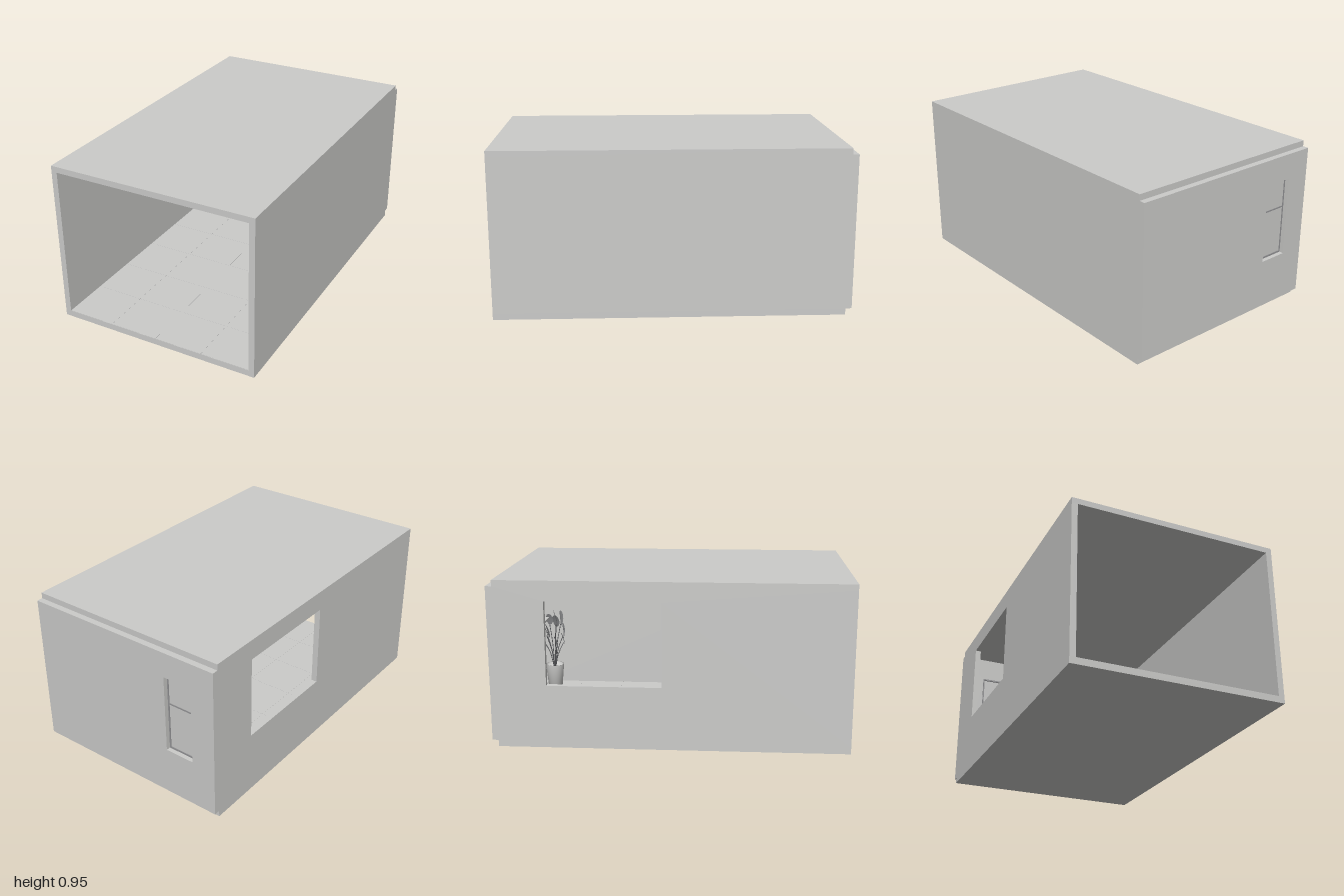
import * as THREE from 'three';

const mat = (name, color, side = THREE.FrontSide) => {
  const m = new THREE.MeshStandardMaterial({ color, side });
  m.name = name;
  return m;
};

export function createModel() {
  const light = mat('light grey', 0xcbcbc9);
  const dark = mat('dark grey', 0x949496);
  const leafMat = mat('leaf grey', 0x8e8f91, THREE.DoubleSide);
  const stemMat = mat('stem grey', 0x5c5d60);
  const root = new THREE.Group();
  root.name = 'room';

  const add = (name, geo, material, parent = root) => {
    const m = new THREE.Mesh(geo, material);
    m.name = name;
    parent.add(m);
    return m;
  };
  // box given by its minimum and maximum corners
  const box = (name, x0, x1, y0, y1, z0, z1, material, parent = root) => {
    const m = add(name, new THREE.BoxGeometry(x1 - x0, y1 - y0, z1 - z0), material, parent);
    m.position.set((x0 + x1) / 2, (y0 + y1) / 2, (z0 + z1) / 2);
    return m;
  };
  const group = (name, x = 0, y = 0, z = 0) => {
    const g = new THREE.Group();
    g.name = name;
    g.position.set(x, y, z);
    root.add(g);
    return g;
  };
  // wall slab with one rectangular opening
  const pierced = (x0, x1, y0, y1, hx0, hx1, hy0, hy1, depth) => {
    const s = new THREE.Shape();
    s.moveTo(x0, y0).lineTo(x1, y0).lineTo(x1, y1).lineTo(x0, y1).closePath();
    const h = new THREE.Path();
    h.moveTo(hx0, hy0).lineTo(hx0, hy1).lineTo(hx1, hy1).lineTo(hx1, hy0).closePath();
    s.holes.push(h);
    return new THREE.ExtrudeGeometry(s, { depth, bevelEnabled: false });
  };
  const rod = (name, points, radius, material, parent) => add(name, new THREE.TubeGeometry(
    new THREE.CatmullRomCurve3(points.map(p => new THREE.Vector3(...p))), 8, radius, 6), material, parent);

  // Shell, open at the front
  const OUT = 0.605, IN = 0.571, FLOOR = 0.037, CEIL = 0.915, TOP = 0.949, BACK = -0.965;
  box('floor', -OUT, OUT, 0, FLOOR, BACK, 1, light);
  box('ceiling', -OUT, OUT, CEIL, TOP, BACK, 1, light);
  box('leftWall', IN, OUT, FLOOR, CEIL, BACK, 1, light);
  const side = add('rightWall', pierced(BACK, 1, FLOOR, CEIL, -0.684, -0.043, 0.36, 0.835, OUT - IN), light);
  side.rotation.y = -Math.PI / 2;
  side.position.x = -IN;
  const back = add('backWall', pierced(-OUT, OUT, FLOOR, CEIL, -0.461, -0.288, 0.314, 0.77, 0.035), light);
  back.position.z = -1;

  // Floor tiles
  const tiles = group('floorTiles');
  const NX = 4, NZ = 7, tw = 2 * IN / NX, td = (1 - BACK) / NZ, gap = 0.0015;
  for (let i = 0; i < NX; i++) for (let j = 0; j < NZ; j++) {
    const x = -IN + i * tw, z = BACK + j * td;
    box('tile', x + gap, x + tw - gap, FLOOR, FLOOR + 0.001, z + gap, z + td - gap, light, tiles);
  }

  // Back window: frame, crossbar, panes and sill
  const win = group('window');
  const frame = add('windowFrame', pierced(-0.463, -0.287, 0.312, 0.771, -0.455, -0.296, 0.324, 0.761, 0.016), dark, win);
  frame.position.z = -0.975;
  box('crossbar', -0.455, -0.296, 0.593, 0.601, -0.974, -0.961, dark, win);
  box('pane', -0.455, -0.296, 0.324, 0.761, -0.971, -0.967, light, win);
  box('windowSill', -0.475, -0.28, 0.302, 0.312, BACK, -0.94, light, win);

  // Wall picture and the two lamps beside it
  box('picture', -0.107, 0.104, 0.442, 0.73, BACK, -0.953, dark);
  for (const x of [-0.18, 0.178]) {
    const lamp = group('wallLamp', x, 0.65, -0.945);
    add('lampTube', new THREE.CylinderGeometry(0.012, 0.012, 0.072, 24), light, lamp);
    add('lampMount', new THREE.BoxGeometry(0.012, 0.02, 0.02), light, lamp).position.z = -0.01;
  }

  // Shelf with books, candle, vase and reeds
  box('shelf', 0.22, 0.434, 0.5, 0.513, BACK, -0.875, light);
  const books = group('books');
  box('lowerBook', 0.23, 0.314, 0.513, 0.525, -0.955, -0.89, light, books);
  box('middleBook', 0.234, 0.31, 0.525, 0.533, -0.953, -0.893, dark, books);
  box('upperBook', 0.239, 0.306, 0.533, 0.543, -0.95, -0.897, light, books);
  box('smallBook', 0.398, 0.43, 0.513, 0.526, -0.95, -0.9, dark, books);
  add('candle', new THREE.CylinderGeometry(0.012, 0.012, 0.025, 20), light).position.set(0.27, 0.5555, -0.922);
  const vase = group('vase', 0.355, 0.513, -0.92);
  const profile = [[0, 0], [0.017, 0], [0.024, 0.014], [0.026, 0.03], [0.022, 0.047], [0.013, 0.064],
    [0.01, 0.074], [0.012, 0.087], [0.009, 0.086], [0.007, 0.07], [0, 0.06]];
  add('vaseBody', new THREE.LatheGeometry(profile.map(p => new THREE.Vector2(...p)), 28), dark, vase);
  for (const [x0, x1, z] of [[-0.024, 0.011, 0.004], [0.023, -0.007, -0.004], [-0.004, 0.004, -0.008], [0.004, 0.001, 0.008]])
    rod('reed', [[x0, 0.087, z], [x1, 0.188, -z]], 0.0012, stemMat, vase);

  // Potted plant in the corner
  const plant = group('pottedPlant', 0.462, FLOOR, -0.85);
  const pot = [[0, 0.001], [0.046, 0.001], [0.06, 0.15], [0.055, 0.15], [0.052, 0.13], [0, 0.13]];
  add('pot', new THREE.LatheGeometry(pot.map(p => new THREE.Vector2(...p)), 36), light, plant);

  // Oval leaf, slightly cupped along its length
  const leafGeo = new THREE.CircleGeometry(1, 24);
  const lp = leafGeo.attributes.position;
  for (let i = 0; i < lp.count; i++) lp.setZ(i, 0.15 * (lp.getX(i) ** 2 - lp.getY(i) ** 2));
  leafGeo.computeVertexNormals();
  // x, y, z, lean, half length, half width, turn
  const leaves = [
    [-0.078, 0.482, 0.03, 0.08, 0.055, 0.023, 0.3],
    [-0.026, 0.387, 0.07, -0.85, 0.058, 0.026, 0.3],
    [0.058, 0.452, 0.04, -0.68, 0.054, 0.026, 0.5],
    [0.05, 0.315, 0.05, 0.35, 0.045, 0.02, 0.3],
    [-0.058, 0.39, -0.04, 0.3, 0.045, 0.018, 0.4],
    [-0.042, 0.312, 0.02, 0.2, 0.045, 0.017, 0.6],
    [0.032, 0.37, -0.05, 0.15, 0.052, 0.024, 0.5],
    [-0.066, 0.36, -0.07, 0.5, 0.038, 0.018, 0.5],
    [0.008, 0.455, -0.03, 0.1, 0.04, 0.02, 1.35],
    [0.022, 0.44, 0.01, 0.18, 0.045, 0.02, 1.3],
  ];
  for (const [x, y, z, lean, l, w, turn] of leaves) {
    const leaf = add('leaf', leafGeo, leafMat, plant);
    leaf.position.set(x, y, z);
    leaf.rotation.set(-0.2, turn, lean, 'ZYX');
    leaf.scale.set(w / Math.cos(Math.min(turn, 0.6)), l, l * 0.4);
    const bx = x + Math.sin(lean) * l * 0.8, by = y - Math.cos(lean) * l * 0.8;
    rod('stem', [[x * 0.08, 0.13, z * 0.08], [bx * 0.4, 0.13 + (by - 0.13) * 0.55, z * 0.4], [bx, by, z]],
      0.0025, stemMat, plant);
  }
  return root;
}
